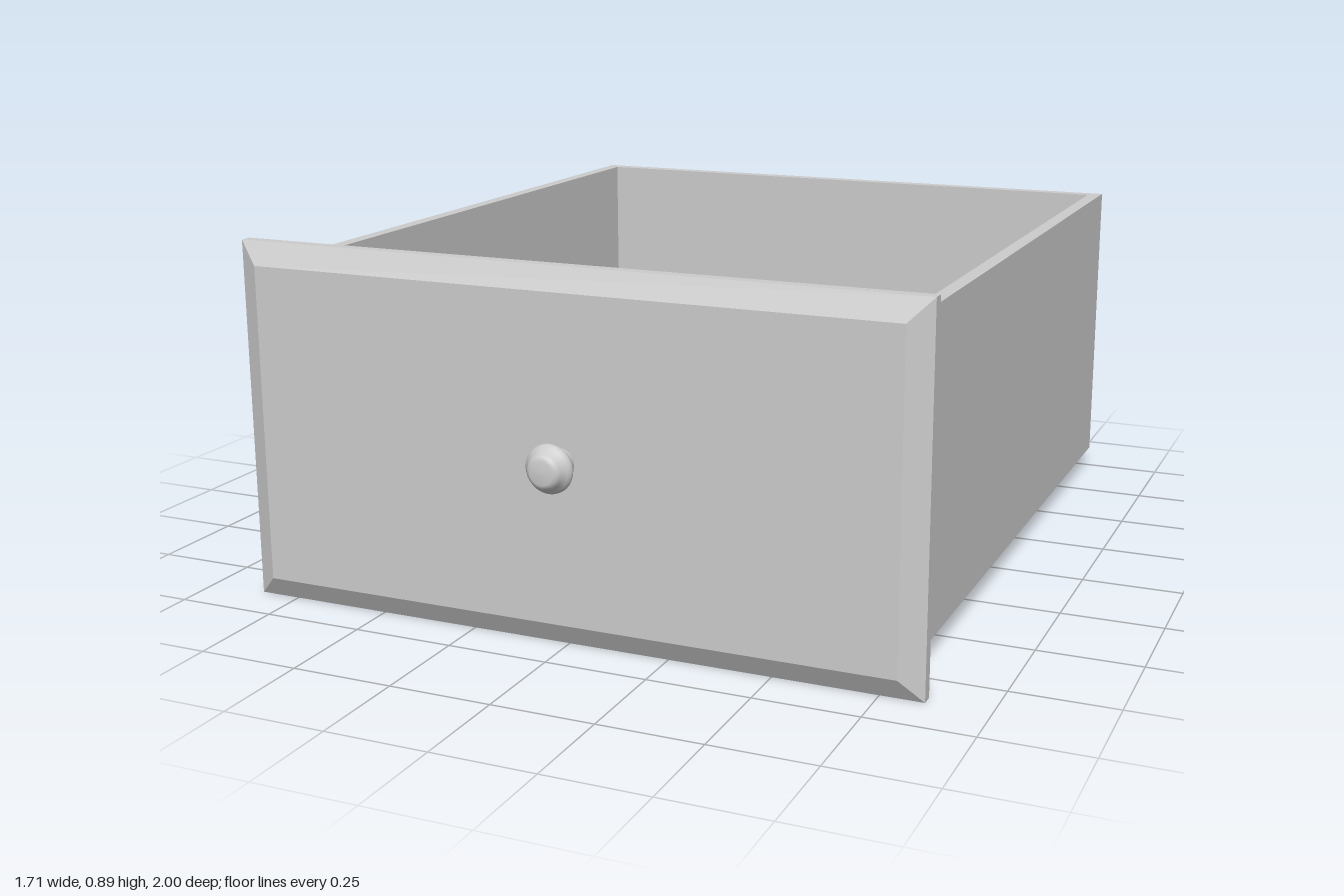
import * as THREE from 'three';

const material = new THREE.MeshStandardMaterial({ color: 0xcccccc });

function addMesh(group, name, geometry) {
  const mesh = new THREE.Mesh(geometry, material);
  mesh.name = name;
  group.add(mesh);
  return mesh;
}

// Traces a rectangle onto a Shape or Path
function rectangle(path, x, y0, y1) {
  path.moveTo(-x, y0);
  path.lineTo(x, y0);
  path.lineTo(x, y1);
  path.lineTo(-x, y1);
  path.closePath();
  return path;
}

// Box whose front rim is chamfered inwards
function beveledPanel(width, height, depth, bevel, bevelDepth) {
  const box = new THREE.BoxGeometry(width, height, depth, 1, 1, 2);
  const pos = box.attributes.position;
  for (let i = 0; i < pos.count; i++) {
    const z = pos.getZ(i);
    if (Math.abs(z) < 1e-4) pos.setZ(i, depth / 2 - bevelDepth);
    else if (z > 0) {
      pos.setX(i, pos.getX(i) - Math.sign(pos.getX(i)) * bevel);
      pos.setY(i, pos.getY(i) - Math.sign(pos.getY(i)) * bevel);
    }
  }
  const flat = box.toNonIndexed();
  flat.computeVertexNormals();
  return flat;
}

export function createModel() {
  const drawer = new THREE.Group();
  drawer.name = 'drawer';

  // Four walls as one open frame, drawn in plan (shape y = -z) and raised
  const plan = rectangle(new THREE.Shape(), 0.8, -0.85, 1);
  plan.holes.push(rectangle(new THREE.Path(), 0.765, -0.805, 0.965));
  const walls = new THREE.ExtrudeGeometry(plan, { depth: 0.775, bevelEnabled: false });
  walls.rotateX(-Math.PI / 2);
  addMesh(drawer, 'walls', walls).position.y = 0.055;

  // Floor, set inside the walls
  const floor = new THREE.BoxGeometry(1.53, 0.037, 1.77);
  addMesh(drawer, 'floor', floor).position.set(0, 0.0735, -0.08);

  // Front panel with chamfered edges
  const panel = beveledPanel(1.706, 0.886, 0.06, 0.054, 0.031);
  addMesh(drawer, 'frontPanel', panel).position.set(0, 0.443, 0.88);

  // Turned knob: stem, rounded flange and tapered cap
  const profile = [
    [0.036, 0.905], [0.036, 0.946], [0.049, 0.946], [0.055, 0.95], [0.058, 0.957],
    [0.057, 0.964], [0.052, 0.97], [0.045, 0.978], [0.042, 0.986], [0.037, 0.994],
    [0.028, 0.999], [0, 1],
  ].map(([r, z]) => new THREE.Vector2(r, z));
  const knob = new THREE.LatheGeometry(profile, 32);
  knob.rotateX(Math.PI / 2);
  addMesh(drawer, 'knob', knob).position.y = 0.443;

  return drawer;
}
